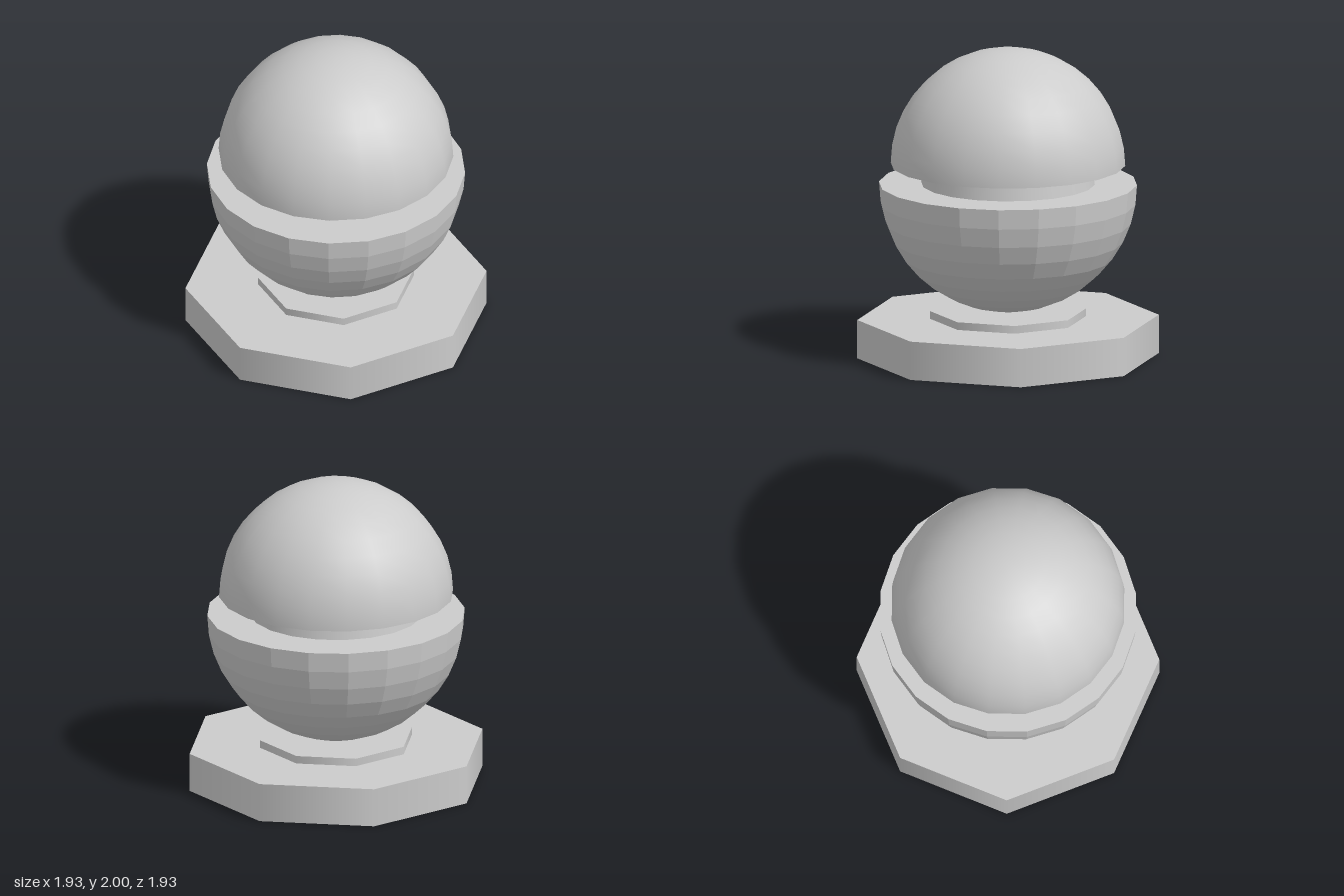
import * as THREE from 'three';

const SIDES = 20, RINGS = 10;

export function createModel() {
  const model = new THREE.Group();
  const smooth = new THREE.MeshStandardMaterial({ color: 0xcccccc });
  const faceted = new THREE.MeshStandardMaterial({ color: 0xcccccc, flatShading: true });

  const add = (parent, name, geometry, y, material = smooth) => {
    const mesh = new THREE.Mesh(geometry, material);
    mesh.name = name;
    mesh.position.y = y;
    parent.add(mesh);
    return mesh;
  };

  // Half sphere closed by a flat disc on its cut
  const halfSphere = (name, radius, y, upper, material) => {
    const group = new THREE.Group();
    group.name = name;
    const start = upper ? 0 : Math.PI / 2;
    add(group, name + 'Shell',
      new THREE.SphereGeometry(radius, SIDES, RINGS, 0, Math.PI * 2, start, Math.PI / 2), y, material);
    const disc = new THREE.CircleGeometry(radius, SIDES).rotateX(upper ? Math.PI / 2 : -Math.PI / 2);
    add(group, name + 'Rim', disc, y);
    model.add(group);
  };

  // Octagonal foot and the thin plate on it
  add(model, 'base', new THREE.CylinderGeometry(0.965, 0.965, 0.25, 8), 0.125);
  add(model, 'basePlate', new THREE.CylinderGeometry(0.5, 0.5, 0.05, 8), 0.275);

  // Faceted bowl, tapered neck and smooth dome
  halfSphere('bowl', 0.825, 1.125, false, faceted);
  add(model, 'neck', new THREE.CylinderGeometry(0.537, 0.555, 0.125, SIDES, 1, true), 1.1875);
  halfSphere('dome', 0.75, 1.25, true, smooth);

  return model;
}
